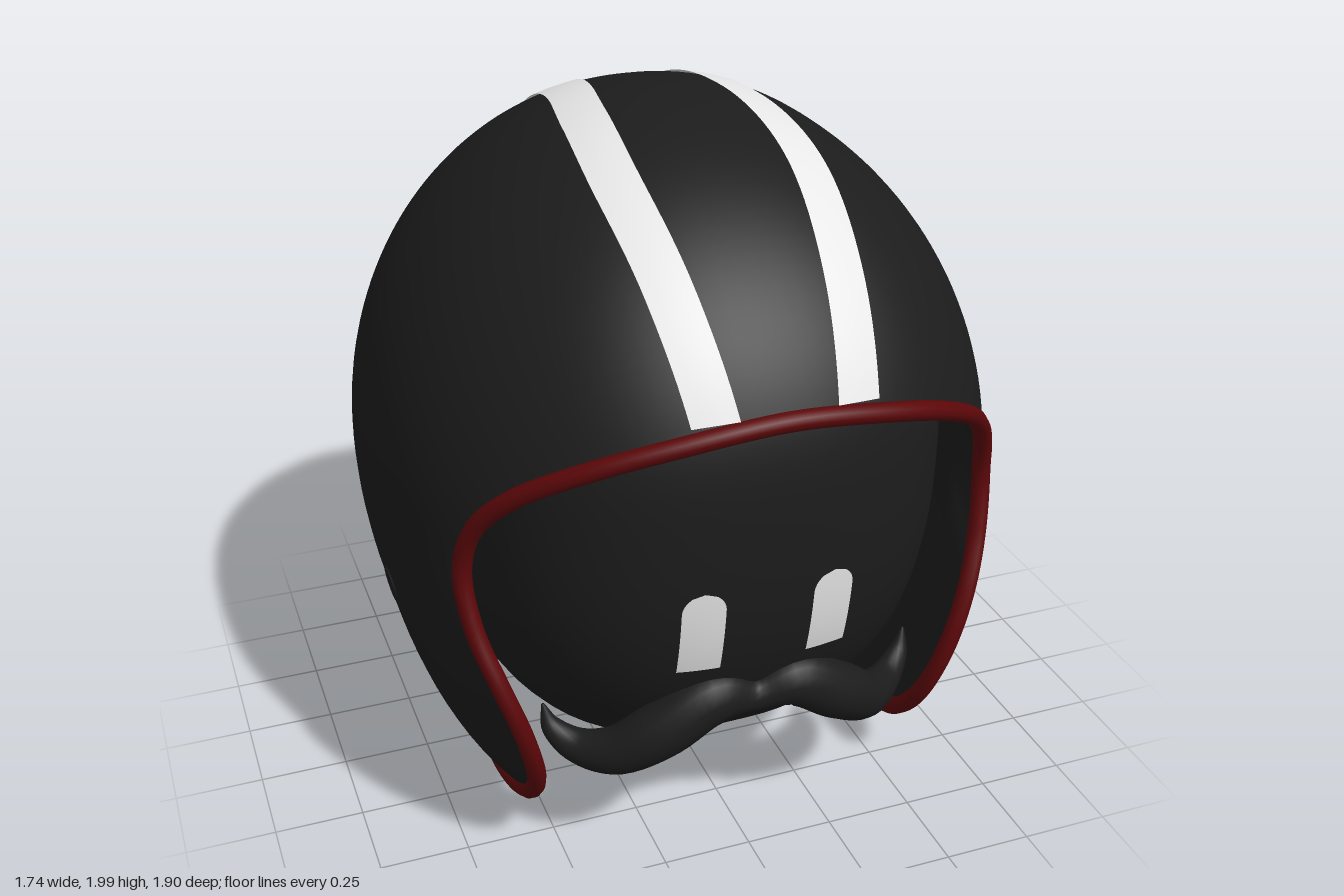
import * as THREE from 'three';

const mat = (name, color) => new THREE.MeshStandardMaterial({ name, color, side: THREE.DoubleSide });
const V = (x, y, z) => new THREE.Vector3(x, y, z);

// Implicit shapes: value below 1 is inside. The shell is fuller at the brow and cheeks.
const shellShape = (p) => {
  const front = Math.max(0, p.z), low = Math.max(0, 1 - p.y);
  const a = 0.872 * (1 + 0.17 * front * low);
  const xz = Math.abs(p.x / a) ** 2.2 + Math.abs(p.z / (p.z > 0 ? 1.017 : 0.95)) ** 2.2;
  const b = p.y > 1 ? 1 : 1.2 + 0.12 * p.z;
  return xz ** (2 / 2.2) + (Math.abs(p.y - 1) / b) ** (2 + 0.15 * front);
};
const headShape = (p) => {
  const xz = Math.abs(p.x / 0.72) ** 2.6 + Math.abs(p.z / (p.z > 0 ? 0.85 : 0.74)) ** 2.6;
  return xz ** (2.5 / 2.6) + Math.abs((p.y - 1.1) / (p.y > 1.1 ? 0.68 : 0.96)) ** 2.5;
};

// Point where a ray leaves a shape
function hit(shape, origin, dir) {
  let lo = 0, hi = 2;
  for (let i = 0; i < 32; i++) {
    const t = (lo + hi) / 2;
    if (shape(origin.clone().addScaledVector(dir, t)) < 1) lo = t; else hi = t;
  }
  return origin.clone().addScaledVector(dir, lo);
}

function normalAt(shape, p) {
  const e = 0.002;
  const d = (v) => shape(p.clone().add(v)) - shape(p.clone().sub(v));
  return V(d(V(e, 0, 0)), d(V(0, e, 0)), d(V(0, 0, e))).normalize();
}

// Grid surface from fn(u, v); u may wrap round
function grid(nu, nv, wrap, fn) {
  const pos = [], idx = [], cols = wrap ? nu : nu + 1;
  for (let j = 0; j <= nv; j++)
    for (let i = 0; i < cols; i++) pos.push(...fn(i / nu, j / nv).toArray());
  for (let j = 0; j < nv; j++)
    for (let i = 0; i < nu; i++) {
      const a = j * cols + i, b = j * cols + ((i + 1) % cols);
      idx.push(a, b, a + cols, b, b + cols, a + cols);
    }
  const g = new THREE.BufferGeometry();
  g.setAttribute('position', new THREE.Float32BufferAttribute(pos, 3));
  g.setIndex(idx);
  g.computeVertexNormals();
  return g;
}

export function createModel() {
  const model = new THREE.Group();
  const black = mat('matte black', 0x1c1c1c);
  const white = mat('stripe white', 0xe8e8e8);
  const red = mat('trim red', 0x5c0709);
  const steel = mat('snap steel', 0xb8b8b8);
  const add = (name, geo, m, parent = model) => {
    const mesh = new THREE.Mesh(geo, m);
    mesh.name = name;
    parent.add(mesh);
    return mesh;
  };

  // Rim line as side-view (z, y) points, laid onto the shell and mirrored
  const centre = V(0, 1, 0);
  const onShell = (p) => hit(shellShape, centre, p.clone().sub(centre).normalize());
  const side = [[0.9, 1.395], [0.82, 1.325], [0.71, 1.225], [0.625, 1.11], [0.59, 0.98], [0.62, 0.82],
    [0.675, 0.65], [0.69, 0.5], [0.645, 0.33], [0.53, 0.19], [0.37, 0.11], [0.2, 0.085], [0, 0.095],
    [-0.2, 0.125], [-0.4, 0.17], [-0.54, 0.2], [-0.63, 0.205]]
    .map(([z, y]) => hit(shellShape, V(0, y, z), V(1, 0, 0)));
  const mirrored = side.map((p) => V(-p.x, p.y, p.z)).reverse();
  const rimCurve = new THREE.CatmullRomCurve3(
    [onShell(V(0, 1.43, 0.925)), ...side, onShell(V(0, 0.2, -0.66)), ...mirrored], true);
  const N = 160;
  const rim = rimCurve.getSpacedPoints(N).slice(0, N).map(onShell);

  // Shell and liner: arcs fanned from a pole at the upper back to the rim
  const pole = V(0, 0.65, -0.76).normalize();
  const fan = (scale) => grid(N, 48, true, (u, v) => {
    const d = rim[Math.round(u * N) % N].clone().sub(centre).normalize();
    const axis = pole.clone().cross(d).normalize();
    const dir = pole.clone().applyAxisAngle(axis, pole.angleTo(d) * v);
    return hit(shellShape, centre, dir).sub(centre).multiplyScalar(scale(v)).add(centre);
  });
  add('shell', fan(() => 1), black);
  add('liner', fan((v) => 1 - 0.085 * Math.min(1, (1 - v) * 12)), black);
  add('rimTrim', new THREE.TubeGeometry(new THREE.CatmullRomCurve3(rim, true), 240, 0.026, 10, true), red);

  // Two stripes from brow to nape: centre x against angle round the shell
  const path = new THREE.CatmullRomCurve3([[26, 0.185], [45, 0.225], [66, 0.255], [84, 0.24], [101, 0.203],
    [121, 0.19], [147, 0.245], [165, 0.28], [188, 0.3], [210, 0.26], [231, 0.2]].map(([a, x]) => V(x, a, 0)));
  for (const s of [1, -1])
    add(s > 0 ? 'leftStripe' : 'rightStripe', grid(4, 90, false, (u, v) => {
      const c = path.getPoint(v), a = THREE.MathUtils.degToRad(c.y);
      const p = hit(shellShape, V(s * (c.x + (u - 0.5) * 0.117), 1, 0), V(0, Math.sin(a), Math.cos(a)));
      return p.addScaledVector(normalAt(shellShape, p), 0.006);
    }), white);

  // Head
  add('head', grid(72, 48, true, (u, v) => {
    const a = u * Math.PI * 2, b = v * Math.PI;
    return hit(headShape, V(0, 1.1, 0), V(Math.sin(b) * Math.sin(a), Math.cos(b), Math.sin(b) * Math.cos(a)));
  }), black);

  // Eyes: round-topped plates that follow the face
  for (const s of [1, -1])
    add(s > 0 ? 'leftEye' : 'rightEye', grid(8, 24, false, (u, v) => {
      const y = 0.675 + 0.258 * v, r = 0.058, over = Math.max(0, y - (0.933 - r));
      const w = Math.sqrt(Math.max(0, r * r - over * over));
      const p = hit(headShape, V(s * 0.18 + (u * 2 - 1) * w, y, 0), V(0, 0, 1));
      p.z += 0.007;
      return p;
    }), white);

  // Moustache: swept ovals with a changing radius
  const half = [[0.12, 0.55, 0.755, 0.08], [0.25, 0.47, 0.74, 0.082], [0.37, 0.39, 0.69, 0.07],
    [0.46, 0.385, 0.63, 0.05], [0.52, 0.435, 0.59, 0.03], [0.54, 0.505, 0.575, 0.004]];
  const full = [...half.map(([x, ...r]) => [-x, ...r]).reverse(), [0, 0.53, 0.76, 0.048], ...half];
  const spine = new THREE.CatmullRomCurve3(full.map(([x, y, z]) => V(x, y, z)));
  const radii = new THREE.CatmullRomCurve3(full.map((p) => V(p[3], 0, 0)));
  add('moustache', grid(18, 72, true, (u, v) => {
    const t = spine.getTangent(v), a = u * Math.PI * 2, r = radii.getPoint(v).x;
    const up = V(-t.y, t.x, 0).normalize(), out = t.clone().cross(up);
    return spine.getPoint(v).addScaledVector(up, Math.cos(a) * r).addScaledVector(out, Math.sin(a) * r * 0.92);
  }), black);

  // Tilted oval neck with a recessed end
  const neck = add('neck', new THREE.LatheGeometry([[0, 0.12], [0.165, 0.12], [0.17, 0.012], [0.178, 0],
    [0.188, 0.004], [0.195, 0.02], [0.195, 0.3]].map(([r, y]) => new THREE.Vector2(r, y)), 48), black);
  neck.position.set(0, 0.06, -0.065);
  neck.rotation.x = 0.24;
  neck.scale.z = 1.15;

  // Places a group on the shell, its local z pointing outward
  const mount = (name, p) => {
    const g = new THREE.Group();
    g.name = name;
    g.position.copy(p);
    g.lookAt(p.clone().add(normalAt(shellShape, p)));
    model.add(g);
    return g;
  };
  const disc = (name, r, depth, z, m, parent) => {
    const d = add(name, new THREE.CylinderGeometry(r * 0.9, r, depth, 28), m, parent);
    d.rotation.x = Math.PI / 2;
    d.position.z = z;
  };

  // Side pivots, nearly flush with the shell
  for (const s of [1, -1]) {
    const g = mount(s > 0 ? 'leftPivot' : 'rightPivot', hit(shellShape, V(0, 0.7, 0.15), V(s, 0, 0)));
    disc('pivotCap', 0.056, 0.01, -0.002, black, g);
  }

  // Nape strap with snap button
  const strap = mount('napeStrap', hit(shellShape, V(0, 0.31, 0), V(0, 0, -1)));
  const tab = new THREE.Shape();
  tab.moveTo(-0.06, -0.14).lineTo(0.06, -0.14).lineTo(0.06, 0);
  tab.absarc(0, 0, 0.06, 0, Math.PI);
  add('strapTab', new THREE.ExtrudeGeometry(tab, { depth: 0.014, bevelEnabled: true, bevelSize: 0.004,
    bevelThickness: 0.004, bevelSegments: 2, curveSegments: 16 }), black, strap).position.z = 0.006;
  disc('snapBase', 0.038, 0.016, 0.03, steel, strap);
  add('snapRing', new THREE.TorusGeometry(0.025, 0.006, 8, 24), steel, strap).position.z = 0.038;
  disc('snapCentre', 0.012, 0.012, 0.041, steel, strap);
  const roll = add('strapLoop', new THREE.CylinderGeometry(0.042, 0.042, 0.125, 24), black);
  roll.rotation.z = Math.PI / 2;
  roll.position.set(0, 0.193, -0.635);
  return model;
}
